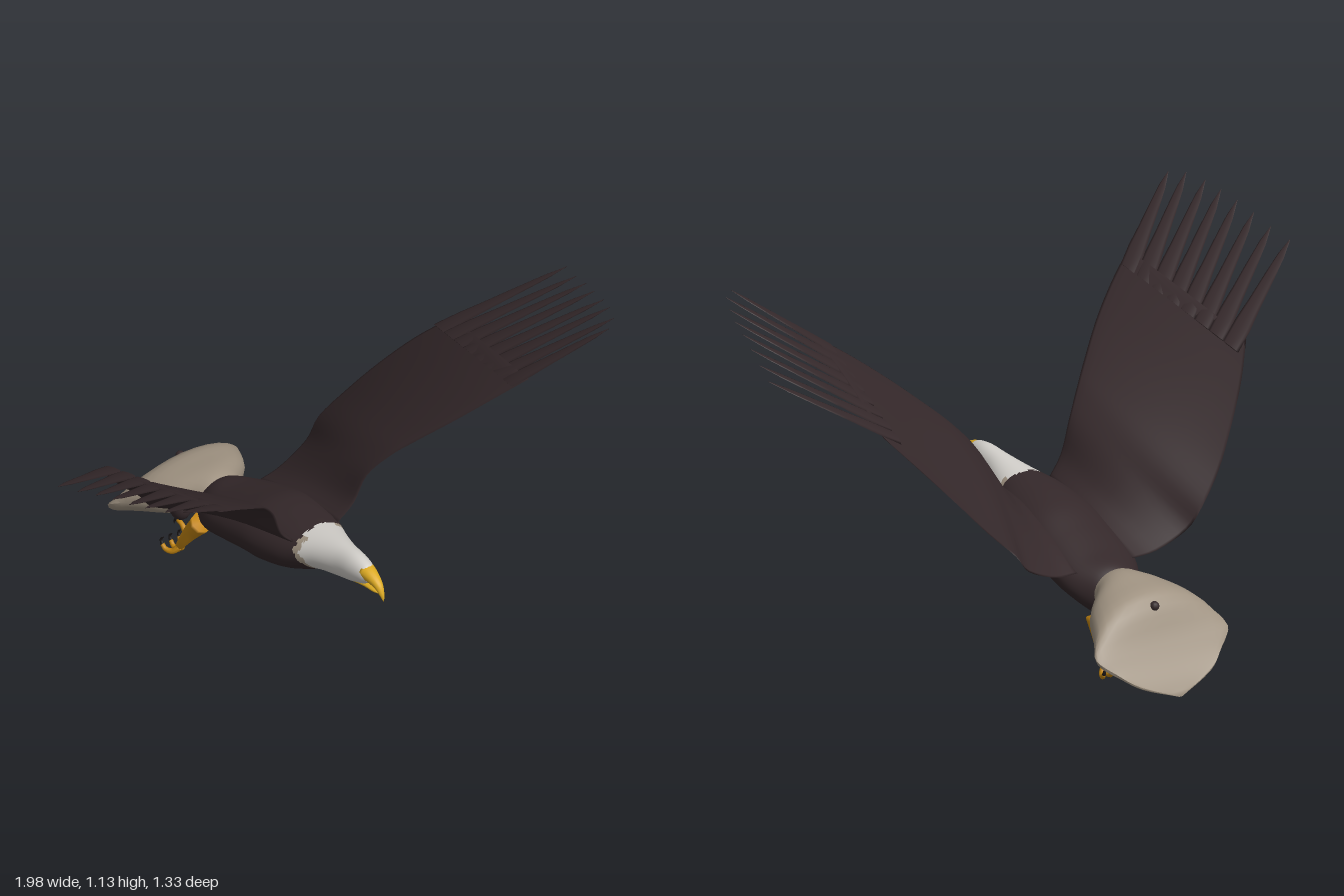
import * as THREE from 'three';
import { toCreasedNormals } from 'three/addons/utils/BufferGeometryUtils.js';

const V = (x, y, z) => new THREE.Vector3(x, y, z);
const mat = (name, color) => {
  const m = new THREE.MeshStandardMaterial({ color });
  m.name = name;
  return m;
};

// Closed skin over a list of equal-length rings; classify(centre) picks a material slot per face
function loft(rings, classify) {
  const n = rings[0].length, pts = rings.flat(), tris = [];
  for (let i = 0; i < rings.length - 1; i++)
    for (let j = 0; j < n; j++) {
      const a = i * n + j, b = i * n + (j + 1) % n;
      tris.push([a, b, a + n], [b, b + n, a + n]);
    }
  [0, rings.length - 1].forEach((r, end) => {
    const c = pts.length;
    pts.push(rings[r].reduce((s, p) => s.add(p), V(0, 0, 0)).divideScalar(n));
    for (let j = 0; j < n; j++) {
      const a = r * n + j, b = r * n + (j + 1) % n;
      tris.push(end ? [a, b, c] : [b, a, c]);
    }
  });
  // Face outward whichever way the rings run
  const volume = tris.reduce((s, [a, b, c]) => s + pts[a].dot(pts[b].clone().cross(pts[c])), 0);
  if (volume < 0) tris.forEach(t => t.reverse());
  const geo = new THREE.BufferGeometry().setFromPoints(pts);
  if (classify) {
    const slots = [];
    for (const t of tris) {
      const c = pts[t[0]].clone().add(pts[t[1]]).add(pts[t[2]]).divideScalar(3);
      const k = classify(c);
      (slots[k] ||= []).push(...t);
    }
    let start = 0;
    slots.forEach((s, k) => { geo.addGroup(start, s.length, k); start += s.length; });
    geo.setIndex(slots.flat());
  } else geo.setIndex(tris.flat());
  geo.computeVertexNormals();
  return geo;
}

// Rings across z from stations [z, top, bottom, halfWidth, edgeHeight]
function sections(stations, steps, sides = 24) {
  const a = new THREE.CatmullRomCurve3(stations.map(s => V(s[0], s[1], s[2])), false, 'catmullrom');
  const b = new THREE.CatmullRomCurve3(stations.map(s => V(s[3], s[4] ?? (s[1] + s[2]) / 2, 0)), false, 'catmullrom');
  return Array.from({ length: steps + 1 }, (_, i) => {
    const p = a.getPoint(i / steps), q = b.getPoint(i / steps);
    return Array.from({ length: sides }, (_, j) => {
      const t = j / sides * Math.PI * 2, s = Math.sin(t);
      return V(q.x * Math.cos(t), q.y + s * (s > 0 ? p.y - q.y : q.y - p.z), p.x);
    });
  });
}

// Tapered tube along a smooth path
function horn(points, r0, r1, steps = 10, sides = 8) {
  const curve = new THREE.CatmullRomCurve3(points);
  const f = curve.computeFrenetFrames(steps);
  return loft(Array.from({ length: steps + 1 }, (_, i) => {
    const p = curve.getPointAt(i / steps), r = r0 + (r1 - r0) * i / steps;
    return Array.from({ length: sides }, (_, j) => {
      const t = j / sides * Math.PI * 2;
      return p.clone().addScaledVector(f.normals[i], r * Math.cos(t)).addScaledVector(f.binormals[i], r * Math.sin(t));
    });
  }));
}

export function createModel() {
  const model = new THREE.Group();
  const brown = mat('dark brown plumage', 0x34282a);
  const white = mat('white plumage', 0xd2cfca);
  const taupe = mat('taupe plumage', 0xa09382);
  const yellow = mat('beak yellow', 0xdcaa22);
  const amber = mat('foot amber', 0xc48612);
  const black = mat('talon black', 0x1e1a1a);
  const add = (parent, name, geo, material) => {
    const m = new THREE.Mesh(geo, material);
    m.name = name;
    parent.add(m);
    return m;
  };

  // Body and head in one skin, with a ragged collar
  const collar = c => {
    const edge = 0.235 + Math.max(0, 0.39 - c.y) * 0.9 + 0.005 * Math.sin(c.y * 190 + c.x * 90);
    return c.z > edge + (c.y < 0.44 ? 0.022 : 0) ? 1 : c.z > edge ? 2 : 0;
  };
  add(model, 'bodyAndHead', loft(sections([
    [0.525, 0.448, 0.407, 0.022], [0.50, 0.462, 0.385, 0.032], [0.45, 0.47, 0.365, 0.042],
    [0.38, 0.467, 0.345, 0.052], [0.30, 0.46, 0.325, 0.075], [0.24, 0.455, 0.292, 0.1],
    [0.17, 0.45, 0.26, 0.127], [0.08, 0.44, 0.235, 0.145], [0, 0.423, 0.225, 0.15],
    [-0.1, 0.385, 0.205, 0.15], [-0.2, 0.347, 0.177, 0.138], [-0.28, 0.322, 0.15, 0.1],
    [-0.33, 0.29, 0.19, 0.06],
  ], 110, 40), collar), [brown, white, taupe]);

  // Hooked upper beak and slim lower beak
  add(model, 'upperBeak', loft(sections([
    [0.50, 0.46, 0.41, 0.03], [0.53, 0.452, 0.407, 0.024], [0.56, 0.437, 0.402, 0.017],
    [0.58, 0.418, 0.385, 0.011], [0.592, 0.39, 0.368, 0.003],
  ], 16, 16)), yellow);
  add(model, 'lowerBeak', loft(sections([
    [0.46, 0.398, 0.375, 0.03], [0.51, 0.399, 0.382, 0.02], [0.55, 0.397, 0.384, 0.014], [0.572, 0.392, 0.387, 0.004],
  ], 8, 12)), yellow);

  // Domed tail folding down into a flat pointed fan
  add(model, 'tail', toCreasedNormals(loft(sections([
    [-0.26, 0.30, 0.18, 0.08], [-0.32, 0.32, 0.165, 0.095], [-0.4, 0.315, 0.14, 0.17, 0.215],
    [-0.5, 0.29, 0.10, 0.22, 0.185], [-0.56, 0.18, 0.078, 0.25, 0.155], [-0.6, 0.115, 0.056, 0.2, 0.11],
    [-0.64, 0.06, 0.033, 0.135, 0.065], [-0.667, 0.016, 0.01, 0.01, 0.013],
  ], 28, 28)), 0.6), taupe);
  const spot = add(model, 'tailSpot', new THREE.SphereGeometry(0.016, 12, 8), brown);
  spot.position.set(0, 0.268, -0.515);

  // Edges of one wing, root to wrist, and the tips of its long feathers
  const lead = [[0.08, 0.41, 0.22], [0.14, 0.48, 0.235], [0.18, 0.58, 0.25], [0.24, 0.66, 0.295],
    [0.30, 0.72, 0.345], [0.40, 0.81, 0.425], [0.50, 0.89, 0.49], [0.60, 0.96, 0.545]];
  const trail = [[0.10, 0.30, -0.23], [0.19, 0.31, -0.24], [0.30, 0.36, -0.25], [0.355, 0.43, -0.255],
    [0.44, 0.52, -0.22], [0.52, 0.62, -0.165], [0.61, 0.73, -0.09], [0.69, 0.83, 0]];
  const tips = [[0.83, 1.13, 0.66], [0.875, 1.13, 0.625], [0.905, 1.12, 0.56], [0.925, 1.105, 0.5],
    [0.94, 1.09, 0.43], [0.957, 1.07, 0.36], [0.972, 1.045, 0.285], [0.992, 1.025, 0.205]];

  for (const [side, sx] of [['left', 1], ['right', -1]]) {
    const flip = p => V(p[0] * sx, p[1], p[2]);
    const wing = new THREE.Group();
    wing.name = side + 'Wing';
    model.add(wing);
    const L = new THREE.CatmullRomCurve3(lead.map(flip), false, 'catmullrom');
    const T = new THREE.CatmullRomCurve3(trail.map(flip), false, 'catmullrom');
    const normalAt = u => {
      const chord = T.getPoint(u).sub(L.getPoint(u));
      const n = chord.cross(L.getTangent(u).add(T.getTangent(u))).normalize();
      return n.y < 0 ? n.negate() : n;
    };

    // Cambered aerofoil panel
    const m = 12, rings = [];
    for (let i = 0; i <= 28; i++) {
      const u = i / 28, a = L.getPoint(u), b = T.getPoint(u), n = normalAt(u);
      rings.push(Array.from({ length: 2 * m }, (_, j) => {
        const t = (1 - Math.cos(j / m * Math.PI)) / 2;
        const thick = 0.036 * (1 - 0.5 * u) * Math.sqrt(t) * (1 - t) * (j < m ? 1 : -1);
        return a.clone().lerp(b, t).addScaledVector(n, 0.018 * Math.sin(Math.PI * t) * (1 - u * 0.6) + thick);
      }));
    }
    add(wing, 'wingPanel', loft(rings), brown);

    // Separate long feathers fanning from the wrist
    const a = L.getPoint(1), b = T.getPoint(1), n = normalAt(1);
    const across = b.clone().sub(a).normalize();
    tips.forEach((tipPoint, i) => {
      const tip = flip(tipPoint), root = a.clone().lerp(b, (i + 0.5) / 8);
      root.addScaledVector(tip.clone().sub(root).normalize(), -0.06);
      const shape = [[0, 0.037], [0.2, 0.036], [0.4, 0.028], [0.65, 0.021], [0.85, 0.014], [1, 0.001]];
      add(wing, 'flightFeather', loft(shape.map(([u, w]) =>
        Array.from({ length: 8 }, (_, j) => {
          const t = j / 8 * Math.PI * 2;
          return root.clone().lerp(tip, u).addScaledVector(across, w * Math.cos(t))
            .addScaledVector(n, 0.006 * (1 - 0.85 * u) * Math.sin(t) + 0.006 * (1 - u));
        }))), brown);
    });

    // Feathered thigh, shank and curled toes with talons
    const leg = new THREE.Group();
    leg.name = side + 'Leg';
    model.add(leg);
    const thigh = add(leg, 'thigh', new THREE.SphereGeometry(1, 18, 12), brown);
    thigh.scale.set(0.034, 0.045, 0.04);
    thigh.position.set(sx * 0.105, 0.2, -0.37);
    add(leg, 'shank', horn([[0.075, 0.17, -0.295], [0.085, 0.12, -0.33], [0.095, 0.07, -0.36], [0.1, 0.025, -0.385]]
      .map(flip), 0.036, 0.012), amber);
    [-0.03, 0, 0.03].forEach(d => {
      add(leg, 'toe', horn([[0.1, 0.035, -0.378], [0.1 + d * 0.6, 0.015, -0.392], [0.1 + d, 0.016, -0.415],
        [0.1 + d * 1.1, 0.03, -0.427]].map(flip), 0.012, 0.007), amber);
      add(leg, 'talon', horn([[0.1 + d * 1.1, 0.028, -0.426], [0.1 + d * 1.15, 0.045, -0.432],
        [0.1 + d * 1.1, 0.062, -0.418]].map(flip), 0.007, 0.001), black);
    });
    add(leg, 'hindToe', horn([[0.095, 0.075, -0.355], [0.095, 0.105, -0.357], [0.095, 0.124, -0.375],
      [0.095, 0.127, -0.395]].map(flip), 0.012, 0.007), amber);
    add(leg, 'hindTalon', horn([[0.095, 0.127, -0.393], [0.095, 0.12, -0.41], [0.095, 0.1, -0.416]]
      .map(flip), 0.007, 0.001), black);
  }
  return model;
}
